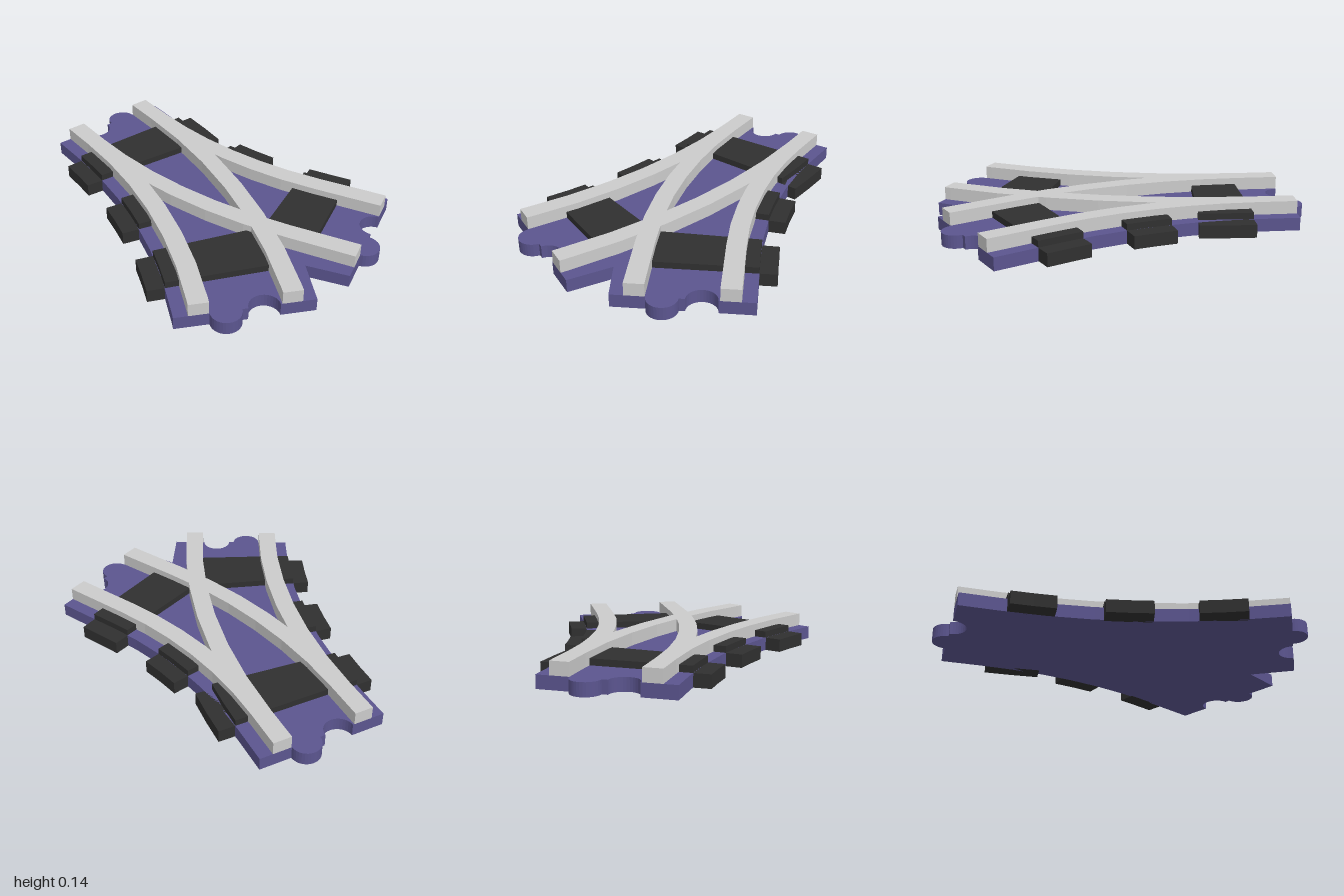
import * as THREE from 'three';

const BASE_TOP = 0.07, TIE_TOP = 0.105, RAIL_TOP = 0.14;
const HALF_BED = 0.345, HALF_GAUGE = 0.225, HALF_RAIL = 0.05, TIE_END = 0.435;
const START_X = -0.035, START_Z = -0.925;

// Each branch: a straight lead, an arc, then a straight run-out
const leftTrack = { name: 'left', side: -1, lead: 0.2, radius: 3.3, angle: 0.4817, length: 1.824 };
const rightTrack = { name: 'right', side: 1, lead: 0.22, radius: 2.6, angle: 0.4765, length: 1.828 };

const bedMaterial = new THREE.MeshStandardMaterial({ color: 0x5b558f, flatShading: true });
const tieMaterial = new THREE.MeshStandardMaterial({ color: 0x303030, flatShading: true });
const railMaterial = new THREE.MeshStandardMaterial({ color: 0xcccccc, flatShading: true });

// Ground point (x, z) at distance s along a branch; positive offset is its outer side
function pointOn(track, s, offset) {
  const { side, lead, radius, angle } = track;
  const a = THREE.MathUtils.clamp((s - lead) / radius, 0, angle);
  const rest = Math.max(0, s - lead - radius * angle);
  const x = radius * (1 - Math.cos(a)) + rest * Math.sin(a) + offset * Math.cos(a);
  const z = Math.min(s, lead) + radius * Math.sin(a) + rest * Math.cos(a) - offset * Math.sin(a);
  return new THREE.Vector2(START_X + side * x, START_Z + z);
}

function stations(track) {
  const list = [0];
  for (let i = 0; i <= 6; i++) list.push(track.lead + (track.radius * track.angle * i) / 6);
  list.push(track.length);
  return list;
}

// Upright prism over a ground outline
function prism(name, outline, y0, y1, material) {
  const shape = new THREE.Shape(outline.map((p) => new THREE.Vector2(p.x, -p.y)));
  const geometry = new THREE.ExtrudeGeometry(shape, { depth: y1 - y0, bevelEnabled: false });
  geometry.rotateX(-Math.PI / 2).translate(0, y0, 0);
  const mesh = new THREE.Mesh(geometry, material);
  mesh.name = name;
  return mesh;
}

// Strip that follows a branch between two offsets
function strip(name, track, list, o0, o1, y0, y1, material) {
  const outline = [
    ...list.map((s) => pointOn(track, s, o0)),
    ...list.map((s) => pointOn(track, s, o1)).reverse(),
  ];
  return prism(name, outline, y0, y1, material);
}

// End edge from a to b with a round tab and a matching round socket
function connectorEdge(a, b) {
  const u = b.clone().sub(a).normalize();
  const n = new THREE.Vector2(-u.y, u.x);
  const points = [a];
  for (const [along, sign] of [[0.25, 1], [0.435, -1]]) {
    const r = 0.078;
    for (let i = 0; i <= 16; i++) {
      const t = (Math.PI * i) / 16;
      points.push(a.clone().addScaledVector(u, along - r * Math.cos(t)).addScaledVector(n, sign * r * Math.sin(t)));
    }
  }
  points.push(b);
  return points;
}

function createBed() {
  const side = (track) => stations(track).slice(1, -1).map((s) => pointOn(track, s, HALF_BED));
  const end = (track, offset) => pointOn(track, track.length, offset);
  const outline = [
    ...connectorEdge(pointOn(rightTrack, 0, HALF_BED), pointOn(leftTrack, 0, HALF_BED)),
    ...side(leftTrack),
    ...connectorEdge(end(leftTrack, HALF_BED), end(leftTrack, -HALF_BED)),
    new THREE.Vector2(0, 0.783),
    ...connectorEdge(end(rightTrack, -HALF_BED), end(rightTrack, HALF_BED)),
    ...side(rightTrack).reverse(),
  ];
  return prism('trackBed', outline, 0, BASE_TOP, bedMaterial);
}

// Raised sleeper on the bed, with a lower block overhanging each listed side
function createTie(name, track, s0, s1, innerOffset, blockSides) {
  const tie = new THREE.Group();
  tie.name = name;
  const list = [s0, (s0 + s1) / 2, s1];
  tie.add(strip('sleeper', track, list, innerOffset, HALF_BED, BASE_TOP - 0.01, TIE_TOP, tieMaterial));
  for (const k of blockSides) {
    tie.add(strip('sleeperEnd', track, list, k * (HALF_BED - 0.01), k * TIE_END, 0, BASE_TOP, tieMaterial));
  }
  return tie;
}

export function createModel() {
  const model = new THREE.Group();
  model.name = 'trackSwitch';
  model.add(createBed());

  // Two rails per branch
  for (const track of [leftTrack, rightTrack]) {
    for (const [label, k] of [['Outer', 1], ['Inner', -1]]) {
      model.add(strip(`${track.name}${label}Rail`, track, stations(track),
        k * HALF_GAUGE - HALF_RAIL, k * HALF_GAUGE + HALF_RAIL, BASE_TOP, RAIL_TOP, railMaterial));
    }
  }

  // One shared tie at the back, short stubs midway, a tie on each branch in front
  model.add(
    createTie('backTie', leftTrack, 0.245, 0.51, -HALF_BED, [1, -1]),
    createTie('leftMiddleTie', leftTrack, 0.785, 1.063, HALF_GAUGE, [1]),
    createTie('rightMiddleTie', rightTrack, 0.766, 1.049, HALF_GAUGE, [1]),
    createTie('leftFrontTie', leftTrack, 1.319, 1.595, -HALF_GAUGE, [1]),
    createTie('rightFrontTie', rightTrack, 1.328, 1.593, -HALF_GAUGE, [1]),
  );
  return model;
}
